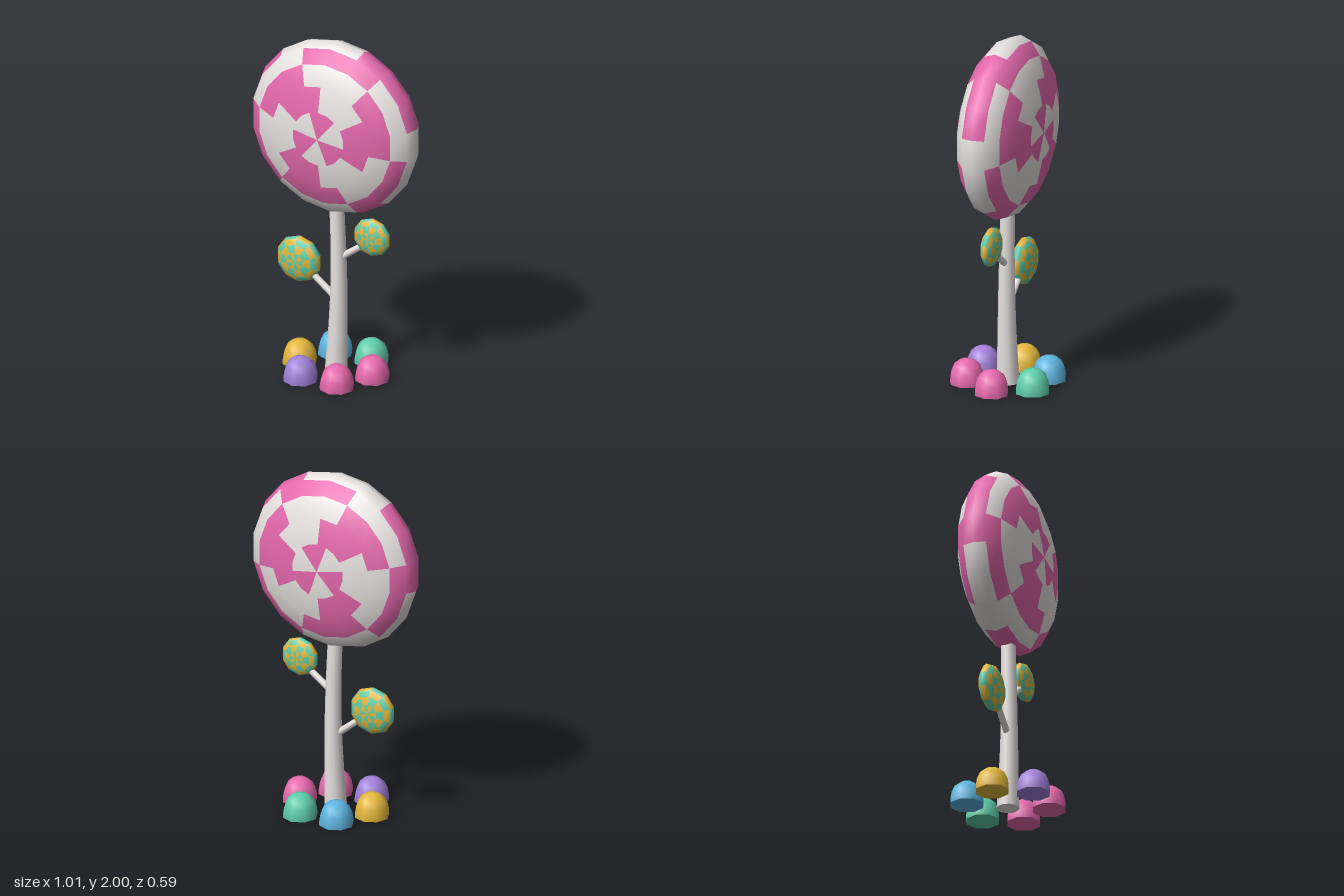
import * as THREE from 'three';

const mat = (name, color) => {
  const m = new THREE.MeshStandardMaterial({ color });
  m.name = name;
  return m;
};

export function createModel() {
  const root = new THREE.Group();
  root.name = 'candyTree';
  const pink = mat('candy pink', 0xe468ac);
  const white = mat('sugar white', 0xf1ecea);
  const gold = mat('gold', 0xe2b63a);
  const teal = mat('mint', 0x5ecba8);
  const purple = mat('violet', 0xa180d8);
  const blue = mat('sky blue', 0x5cb3de);

  const add = (name, geo, material, parent = root) => {
    const mesh = new THREE.Mesh(geo, material);
    mesh.name = name;
    parent.add(mesh);
    return mesh;
  };

  // Flattened sphere facing z; isFirst(segment, ring) picks the colour of each
  // cell. Segments run counterclockwise from the top, rings outward from either pole.
  const candy = (name, r, segs, rings, isFirst, mats) => {
    const geo = new THREE.SphereGeometry(r, segs, rings, -Math.PI / 2);
    geo.rotateX(Math.PI / 2);
    geo.scale(1, 1, 0.42);
    const lists = [[], []];
    for (let iy = 0; iy < rings; iy++) {
      const ring = Math.min(iy, rings - 1 - iy);
      for (let ix = 0; ix < segs; ix++) {
        const a = iy * (segs + 1) + ix, b = a + 1;
        const c = a + segs + 1, d = c + 1;
        const list = lists[isFirst(ix, ring) ? 0 : 1];
        if (iy > 0) list.push(b, a, d);
        if (iy < rings - 1) list.push(a, c, d);
      }
    }
    geo.setIndex([...lists[0], ...lists[1]]);
    geo.clearGroups();
    geo.addGroup(0, lists[0].length, 0);
    geo.addGroup(lists[0].length, lists[1].length, 1);
    return add(name, geo, mats);
  };

  // Large swirled crown
  const swirl = [4, 0, 1, 4, 2];
  candy('crown', 0.515, 18, 10, (s, ring) => (s - swirl[ring] + 6) % 6 < 3, [pink, white])
    .position.set(0, 1.485, 0);

  // Small checkered side candies
  const check = (s, ring) => (s + ring) % 2 === 0;
  candy('leftCandy', 0.113, 10, 8, check, [gold, teal]).position.set(0.227, 0.862, 0);
  candy('rightCandy', 0.138, 10, 8, check, [gold, teal]).position.set(-0.232, 0.632, 0);

  // Tapered, gently bowed trunk
  const H = 1.1;
  const trunk = new THREE.CylinderGeometry(1, 1, H, 12, 10);
  trunk.translate(0, H / 2, 0);
  const p = trunk.attributes.position;
  for (let i = 0; i < p.count; i++) {
    const t = p.getY(i) / H;
    const r = 0.041 + 0.022 * (1 - t) ** 2;
    p.setX(i, p.getX(i) * r + 0.018 * Math.sin(Math.PI * t));
    p.setZ(i, p.getZ(i) * r);
  }
  add('trunk', trunk, white);

  // Branches holding the side candies
  const branch = (name, from, to) => {
    const a = new THREE.Vector3(...from), b = new THREE.Vector3(...to);
    const dir = b.clone().sub(a);
    const mesh = add(name, new THREE.CylinderGeometry(0.018, 0.02, dir.length(), 8), white);
    mesh.position.copy(a).addScaledVector(dir, 0.5);
    mesh.quaternion.setFromUnitVectors(new THREE.Vector3(0, 1, 0), dir.normalize());
  };
  branch('leftBranch', [0.02, 0.69, 0], [0.19, 0.815, 0]);
  branch('rightBranch', [0, 0.445, 0], [-0.19, 0.595, 0]);

  // Ring of six gumdrops around the base
  const profile = [[0.097, 0.005], [0.098, 0.03], [0.091, 0.07], [0.073, 0.11], [0.042, 0.136], [0, 0.145]]
    .map(([x, y]) => new THREE.Vector2(x, y));
  const dome = new THREE.LatheGeometry(profile, 8);
  const base = new THREE.CircleGeometry(0.097, 8);
  base.rotateX(Math.PI / 2);
  base.translate(0, 0.005, 0);
  [pink, pink, purple, gold, blue, teal].forEach((m, i) => {
    const a = (i * Math.PI) / 3;
    const drop = new THREE.Group();
    drop.name = 'gumdrop' + (i + 1);
    drop.position.set(0.228 * Math.cos(a), 0, 0.228 * Math.sin(a));
    add('gumdropDome', dome, m, drop);
    add('gumdropBase', base, m, drop);
    root.add(drop);
  });

  return root;
}
